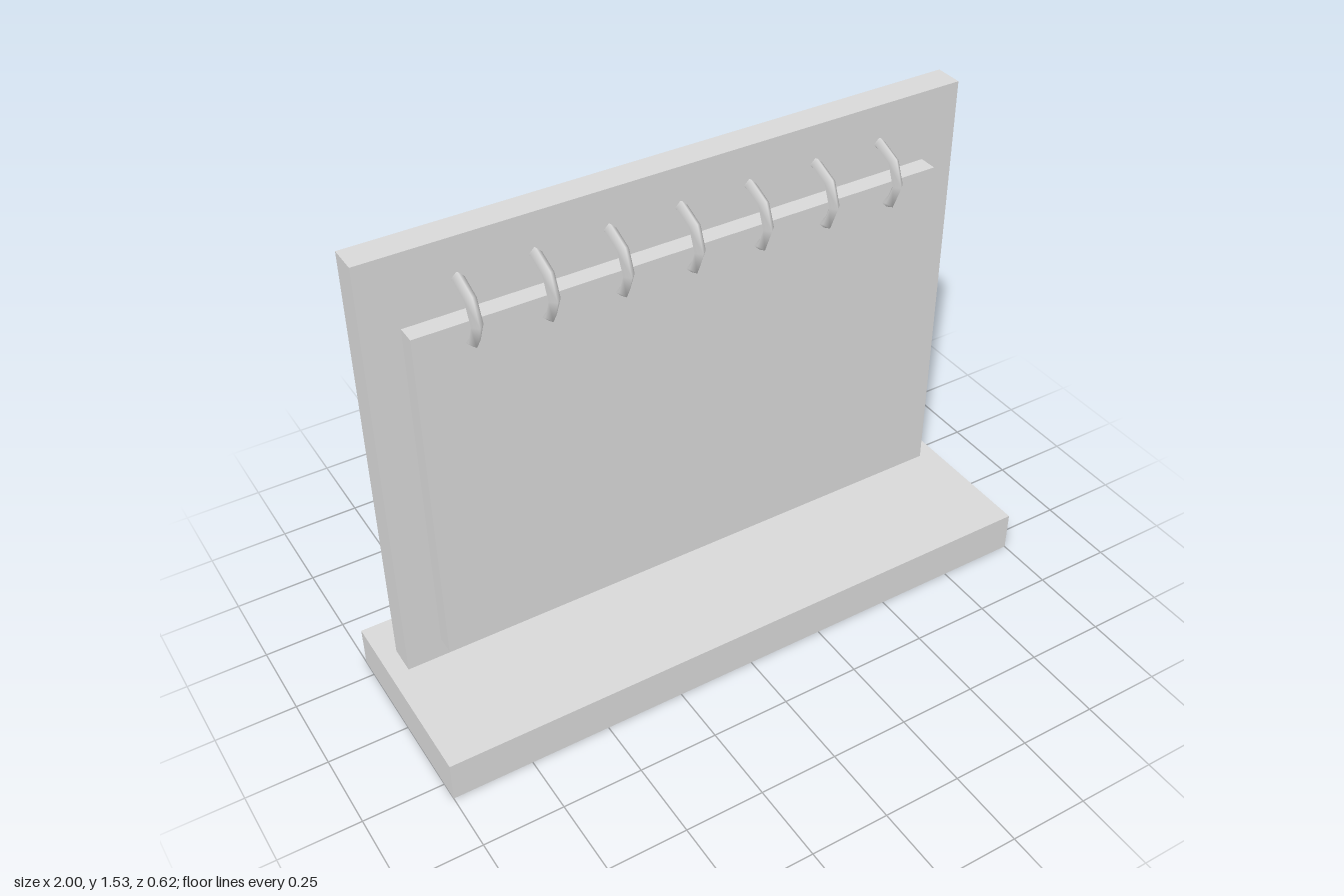
import * as THREE from 'three';

const grey = new THREE.MeshStandardMaterial({ name: 'light grey', color: 0xd8d8d8 });

// Box given by its half width and its y and z limits, centred on x = 0
function slab(name, halfWidth, y0, y1, z0, z1) {
  const mesh = new THREE.Mesh(new THREE.BoxGeometry(halfWidth * 2, y1 - y0, z1 - z0), grey);
  mesh.position.set(0, (y0 + y1) / 2, (z0 + z1) / 2);
  mesh.name = name;
  return mesh;
}

export function createModel() {
  const model = new THREE.Group();
  model.name = 'deskCalendar';

  // Stand: base, upright board and rear support block
  model.add(slab('base', 1, 0, 0.133, -0.311, 0.311));
  model.add(slab('backBoard', 0.944, 0.133, 1.533, -0.178, -0.089));
  model.add(slab('rearSupport', 0.278, 0.133, 0.8, -0.311, -0.189));

  // Hanging page block
  model.add(slab('pageBlock', 0.833, 0.2, 1.31, -0.089, -0.031));

  // Single sheet hanging just in front of the page block
  const sheet = new THREE.Mesh(new THREE.PlaneGeometry(1.44, 0.829), grey);
  sheet.name = 'frontSheet';
  sheet.position.set(0, 0.7885, 0.013);
  model.add(sheet);

  // Row of eight-sided binding rings of diamond section, through board and pages
  const rings = new THREE.Group();
  rings.name = 'bindingRings';
  const ringGeometry = new THREE.TorusGeometry(0.093, 0.0178, 4, 8).rotateY(Math.PI / 2);
  for (let i = -3; i <= 3; i++) {
    const ring = new THREE.Mesh(ringGeometry, grey);
    ring.name = 'bindingRing';
    ring.position.set(i * 0.2222, 1.32, -0.0805);
    rings.add(ring);
  }
  model.add(rings);

  return model;
}
